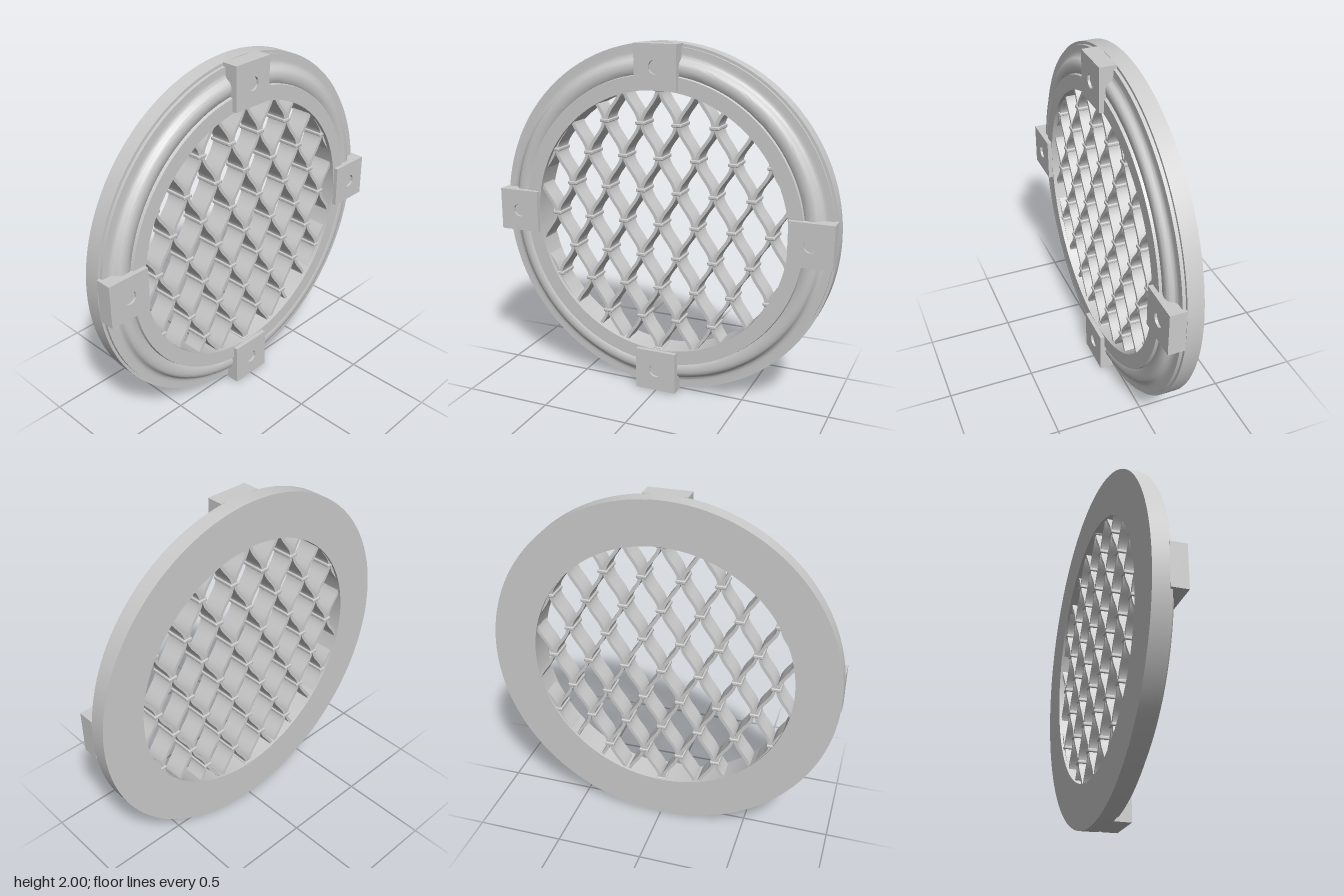
import * as THREE from 'three';
import { RoundedBoxGeometry } from 'three/addons/geometries/RoundedBoxGeometry.js';
import { toCreasedNormals } from 'three/addons/utils/BufferGeometryUtils.js';

const material = new THREE.MeshStandardMaterial({ color: 0xcccccc });
const PITCH_X = 0.1075; // half a diamond across
const PITCH_Y = 0.188;  // half a diamond up

function addMesh(parent, geometry, name) {
  const mesh = new THREE.Mesh(geometry, material);
  mesh.name = name;
  parent.add(mesh);
  return mesh;
}

// Moulded ring: flat inner lip, ogee moulding, plain back
function ringGeometry() {
  const moulding = new THREE.CubicBezierCurve(
    new THREE.Vector2(0.955, 0.018), new THREE.Vector2(0.9, 0.018),
    new THREE.Vector2(0.935, 0.06), new THREE.Vector2(0.87, 0.06)).getPoints(14);
  const profile = [
    [0.75, -0.09], [1, -0.09], [1, 0], [0.985, 0], [0.985, 0.018],
  ].map(([r, z]) => new THREE.Vector2(r, z));
  profile.push(...moulding);
  profile.push(...[[0.845, 0.056], [0.836, 0.05], [0.832, 0.067], [0.75, 0.067], [0.75, -0.09]]
    .map(([r, z]) => new THREE.Vector2(r, z)));
  const geometry = new THREE.LatheGeometry(profile, 128);
  geometry.rotateX(Math.PI / 2);
  return toCreasedNormals(geometry, 0.5);
}

// Wavy upright strip that swings between two neighbouring columns of ties
function stripGeometry(k) {
  const half = 0.009, amp = PITCH_X / 2 - half;
  const phase = k % 2 === 0 ? Math.PI : 0;
  const left = [], right = [];
  for (let i = -64; i <= 64; i++) {
    const y = i * PITCH_Y / 14;
    const a = Math.PI * y / PITCH_Y + phase;
    const x = (k + 0.5) * PITCH_X + amp * Math.cos(a);
    if (Math.hypot(x, y) > 0.79) continue;
    const slope = -amp * Math.PI / PITCH_Y * Math.sin(a);
    const n = new THREE.Vector2(1, -slope).normalize().multiplyScalar(half);
    right.push(new THREE.Vector2(x + n.x, y + n.y));
    left.push(new THREE.Vector2(x - n.x, y - n.y));
  }
  const shape = new THREE.Shape([...right, ...left.reverse()]);
  const geometry = new THREE.ExtrudeGeometry(shape, { depth: 0.12, bevelEnabled: false });
  geometry.translate(0, 0, -0.075);
  return toCreasedNormals(geometry, 0.6);
}

// Square clamp with a shallow round dimple
function makeClamp() {
  const clamp = new THREE.Group();
  const s = 0.1225;
  const face = new THREE.Shape([[-s, -s], [s, -s], [s, s], [-s, s]]
    .map(([x, y]) => new THREE.Vector2(x, y)));
  face.holes.push(new THREE.Path().absarc(0, 0, 0.038, 0, Math.PI * 2, true));
  const plate = new THREE.ExtrudeGeometry(face, { depth: 0.093, bevelEnabled: false, curveSegments: 24 });
  addMesh(clamp, toCreasedNormals(plate, 0.6), 'clampBlock');
  const floor = new THREE.CylinderGeometry(0.039, 0.039, 0.078, 32);
  floor.rotateX(Math.PI / 2).translate(0, 0, 0.04);
  addMesh(clamp, floor, 'screwRecess');
  return clamp;
}

export function createModel() {
  const model = new THREE.Group();
  model.name = 'roundGrille';
  const body = new THREE.Group();
  body.name = 'grilleBody';
  body.position.y = 1;
  model.add(body);

  addMesh(body, ringGeometry(), 'ring');

  // Lattice strips
  const lattice = new THREE.Group();
  lattice.name = 'lattice';
  body.add(lattice);
  for (let k = -7; k <= 6; k++) addMesh(lattice, stripGeometry(k), 'latticeStrip');

  // Ties where neighbouring strips touch
  const tie = new RoundedBoxGeometry(0.056, 0.02, 0.135, 2, 0.006);
  for (let row = -4; row <= 4; row++) {
    for (let col = -7; col <= 7; col++) {
      const x = col * PITCH_X, y = row * PITCH_Y;
      if ((row + col) % 2 !== 0 || Math.hypot(x, y) > 0.765) continue;
      addMesh(lattice, tie, 'latticeTie').position.set(x, y, -0.015);
    }
  }

  // Four clamps around the ring
  for (let i = 0; i < 4; i++) {
    const a = i * Math.PI / 2;
    const clamp = makeClamp();
    clamp.name = 'clamp';
    clamp.position.set(0.874 * Math.cos(a), 0.874 * Math.sin(a), 0);
    body.add(clamp);
  }
  return model;
}
